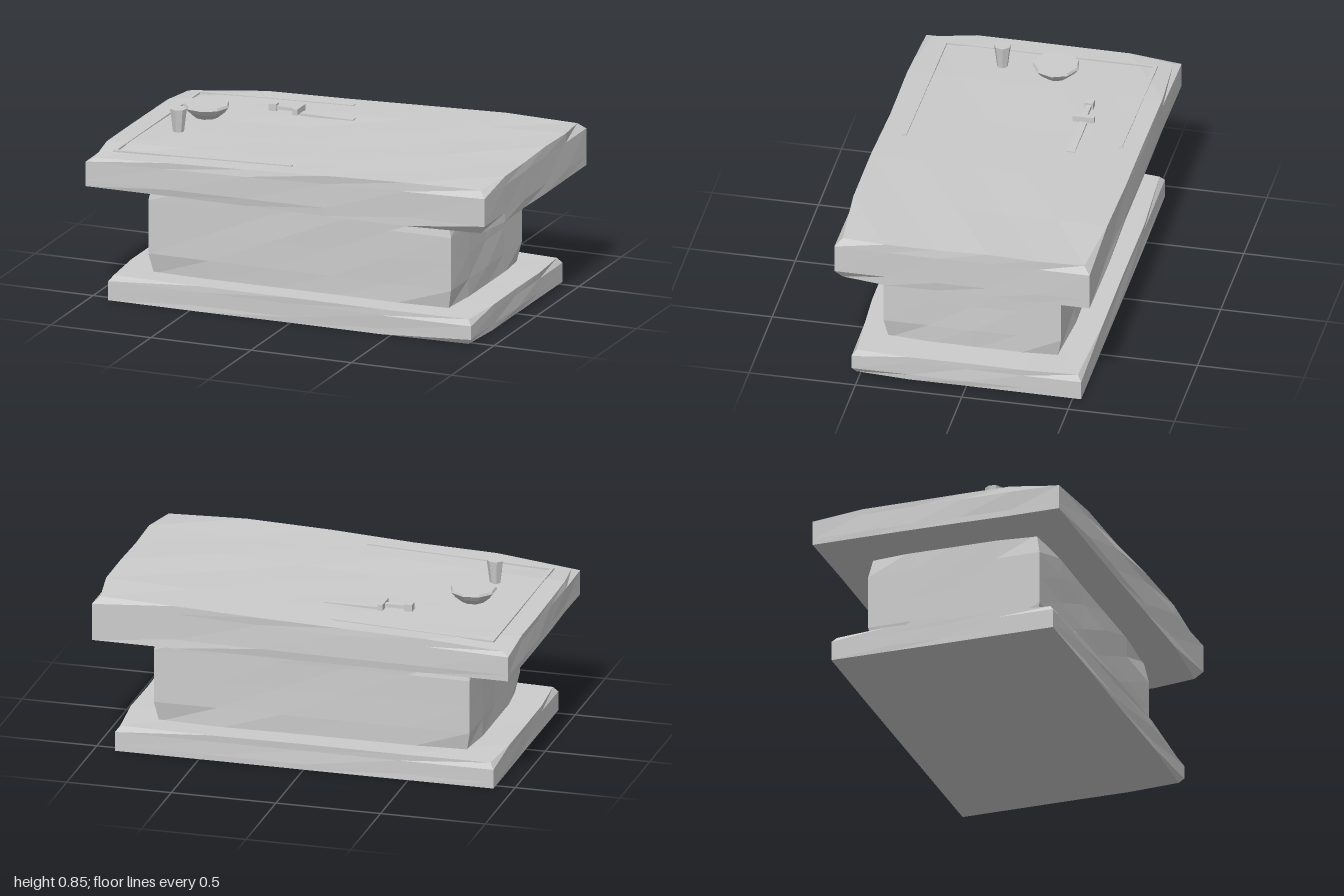
import * as THREE from 'three';

const stone = new THREE.MeshStandardMaterial({ color: 0xcccccc });
stone.name = 'grey stone';

// Sloping height of the table top along x
const topY = (x) => 0.702 + 0.037 * (x + 1);

// Small repeatable offset that depends only on position, so faces stay joined
function wobble(x, y, z, k) {
  const s = Math.sin(x * 12.99 + y * 78.23 + z * 37.72 + k * 11.3) * 4375.85;
  return s - Math.floor(s) - 0.5;
}

function addMesh(parent, geometry, name) {
  const flat = geometry.index ? geometry.toNonIndexed() : geometry;
  flat.computeVertexNormals();
  const mesh = new THREE.Mesh(flat, stone);
  mesh.name = name;
  parent.add(mesh);
  return mesh;
}

// Rough-hewn block: subdivided box with worn corners and slightly uneven faces
function hewnBlock({ w, d, y0, y1, nx, nz, rows, pull, drop, chipBottom, rough = 0.006 }) {
  const ny = rows.length - 1;
  const g = new THREE.BoxGeometry(2, 2, 2, nx, ny, nz);
  const p = g.attributes.position;
  for (let i = 0; i < p.count; i++) {
    const u = p.getX(i), v = p.getZ(i);
    const row = Math.round((p.getY(i) + 1) / 2 * ny);
    const top = row === ny, bottom = row === 0;
    let x = u * w / 2, z = v * d / 2;
    let y = y0 + rows[row] * (y1(x) - y0);
    const corner = Math.abs(u) > 0.99 && Math.abs(v) > 0.99;
    if (corner && (top || (bottom && chipBottom(u, v)))) {
      x -= Math.sign(u) * pull;
      z -= Math.sign(v) * pull;
      if (top) y -= drop;
    } else if (!corner) {
      const a = Math.round(u * 50), b = Math.round(v * 50);
      if (Math.abs(u) > 0.99) x += wobble(a, row, b, 1) * rough;
      if (Math.abs(v) > 0.99) z += wobble(a, row, b, 2) * rough;
      if (top) y += wobble(a, row, b, 3) * rough;
    }
    p.setXYZ(i, x, y, z);
  }
  return g;
}

function addBox(parent, name, x0, x1, y0, y1, z0, z1) {
  const g = new THREE.BoxGeometry(x1 - x0, y1 - y0, z1 - z0);
  g.translate((x0 + x1) / 2, (y0 + y1) / 2, (z0 + z1) / 2);
  return addMesh(parent, g, name);
}

// Thin border strip that follows the slope of the table top
function addStrip(parent, name, x0, x1, z0, z1) {
  const g = new THREE.BoxGeometry(x1 - x0, 0.008, z1 - z0, 4, 1, 1);
  g.translate((x0 + x1) / 2, 0, (z0 + z1) / 2);
  const p = g.attributes.position;
  for (let i = 0; i < p.count; i++) p.setY(i, p.getY(i) + topY(p.getX(i)) + 0.001);
  addMesh(parent, g, name);
}

export function createModel() {
  const model = new THREE.Group();
  model.name = 'stoneAltar';

  // Stacked stone blocks
  const base = hewnBlock({
    w: 1.81, d: 1.08, y0: 0, y1: () => 0.122, nx: 4, nz: 4, rows: [0, 0.22, 0.75, 1],
    pull: 0.02, drop: 0.004, chipBottom: (u, v) => u > 0 && v > 0,
  });
  addMesh(model, base, 'base').position.x = -0.003;

  const pedestal = hewnBlock({
    w: 1.51, d: 0.835, y0: 0.11, y1: () => 0.565, nx: 5, nz: 4, rows: [0, 0.22, 0.5, 0.78, 1],
    pull: 0.02, drop: 0, chipBottom: () => true,
  });
  addMesh(model, pedestal, 'pedestal').position.set(-0.003, 0, 0.004);

  const slab = hewnBlock({
    w: 1.99, d: 1.2, y0: 0.555, y1: topY, nx: 5, nz: 5, rows: [0, 0.2, 0.8, 1],
    pull: 0.032, drop: 0.014, chipBottom: (u, v) => u > 0 && v > 0, rough: 0.008,
  });
  addMesh(model, slab, 'tableSlab');

  // Border on the table top
  addStrip(model, 'borderEnd', -0.9, -0.885, -0.51, 0.5);
  addStrip(model, 'borderBack', -0.885, -0.12, -0.51, -0.49);
  addStrip(model, 'borderFront', -0.885, -0.01, 0.48, 0.5);

  // Shallow bowl
  const bowlProfile = [[0, 0.735], [0.055, 0.735], [0.09, 0.764], [0.109, 0.788], [0.104, 0.8], [0, 0.8]]
    .map(([r, y]) => new THREE.Vector2(r, y));
  const bowl = addMesh(model, new THREE.LatheGeometry(bowlProfile, 9, Math.PI / 2), 'bowl');
  bowl.position.set(-0.68, 0, -0.08);

  // Tapered cup
  const cup = addMesh(model, new THREE.CylinderGeometry(0.04, 0.026, 0.11, 7), 'cup');
  cup.position.set(-0.71, 0.79, 0.18);

  // Dagger
  const dagger = new THREE.Group();
  dagger.name = 'dagger';
  addBox(dagger, 'pommel', -0.452, -0.415, 0.737, 0.77, -0.31, -0.27);
  addBox(dagger, 'grip', -0.415, -0.32, 0.745, 0.761, -0.302, -0.278);
  addBox(dagger, 'guard', -0.32, -0.295, 0.739, 0.768, -0.34, -0.24);
  addBox(dagger, 'blade', -0.295, -0.03, 0.731, 0.742, -0.307, -0.27);
  model.add(dagger);

  return model;
}
